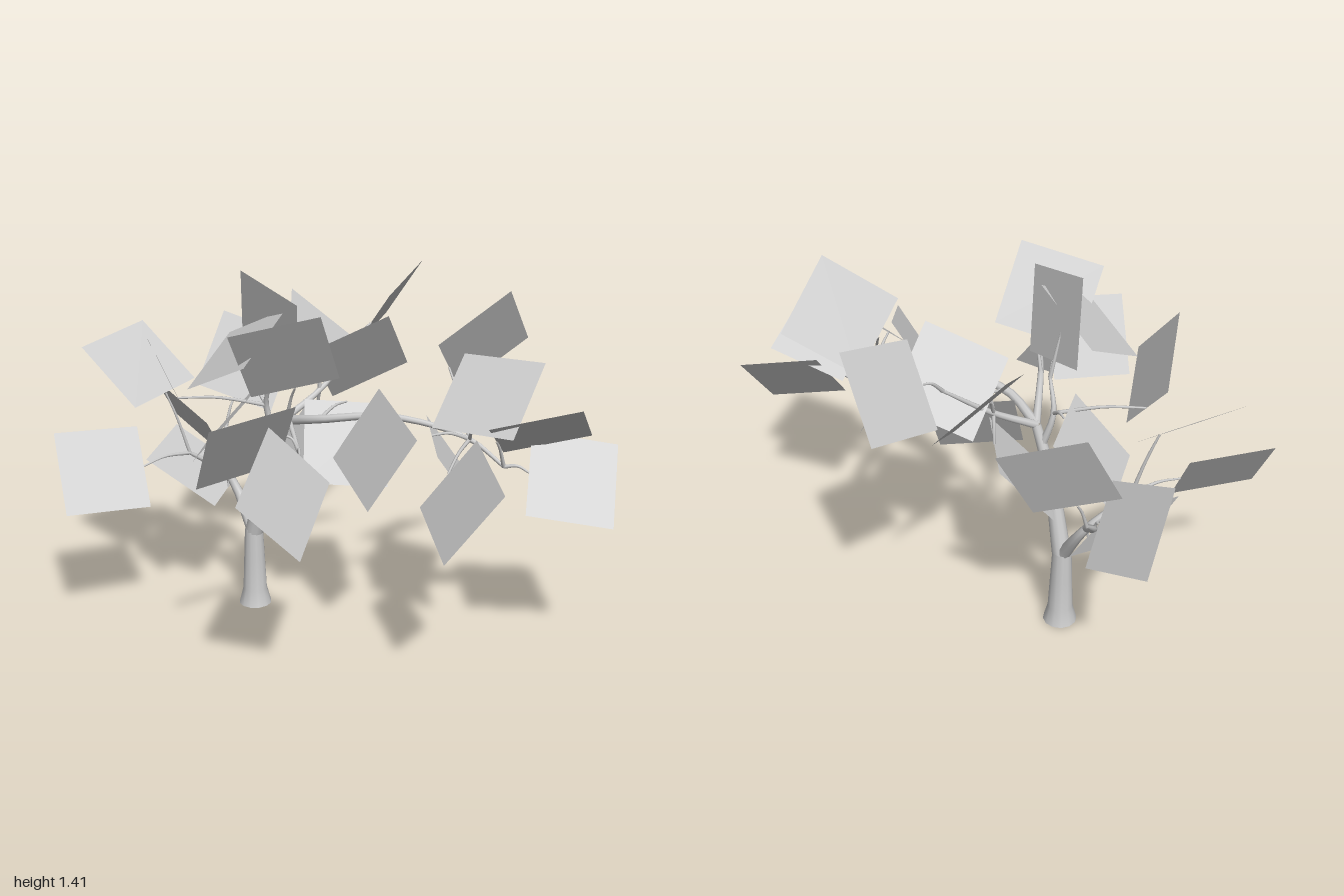
import * as THREE from 'three';

const LEAF = 0.325;
const bark = new THREE.MeshStandardMaterial({ color: 0xcccccc });
const foliage = new THREE.MeshStandardMaterial({ color: 0xcccccc, side: THREE.DoubleSide });
const vec = (x, y, z) => new THREE.Vector3(x, y, z);
const rad = THREE.MathUtils.degToRad;

// Square leaf growing along +z from the middle of its base edge
const leafGeometry = new THREE.PlaneGeometry(LEAF, LEAF).rotateX(-Math.PI / 2).translate(0, 0, LEAF / 2);

// Tapered smooth branch through a list of points
function branch(points, r0, r1, name, sides = 8) {
  const curve = new THREE.CatmullRomCurve3(points, false, 'centripetal');
  const rings = (points.length - 1) * 4;
  const geo = new THREE.TubeGeometry(curve, rings, 1, sides);
  const pos = geo.attributes.position;
  const v = new THREE.Vector3();
  for (let i = 0; i < pos.count; i++) {
    const t = Math.floor(i / (sides + 1)) / rings;
    const c = curve.getPointAt(t);
    v.fromBufferAttribute(pos, i).sub(c).multiplyScalar(r0 + (r1 - r0) * t).add(c);
    pos.setXYZ(i, v.x, v.y, v.z);
  }
  const mesh = new THREE.Mesh(geo, bark);
  mesh.name = name;
  return mesh;
}

// Limb with a helper that hangs a leaf at a point, by compass heading, rise and roll in degrees
function makeLimb(tree, name, r0, r1, ...path) {
  const limb = new THREE.Group();
  limb.name = name;
  limb.add(branch(path, r0, r1, 'branch'));
  tree.add(limb);
  return (x, y, z, heading, rise, roll) => {
    const base = vec(x, y, z);
    const leaf = new THREE.Mesh(leafGeometry, foliage);
    leaf.name = 'leaf';
    leaf.position.copy(base);
    leaf.rotation.set(rad(-rise), rad(heading), rad(roll), 'YXZ');
    // Twig from the nearest node of the limb, bent slightly upward
    const node = path.reduce((a, b) => (b.distanceTo(base) < a.distanceTo(base) ? b : a));
    const bend = node.clone().lerp(base, 0.55);
    bend.y += 0.015;
    limb.add(branch([node, bend, base], 0.008, 0.004, 'twig', 6), leaf);
  };
}

export function createModel() {
  const tree = new THREE.Group();
  tree.name = 'tree';
  const split = vec(-0.235, 0.31, -0.25);
  const crown = vec(-0.14, 0.82, -0.12);
  const lowFork = vec(-0.31, 0.52, -0.36);

  // Flared trunk, closed underneath
  const profile = [vec(0, 0), vec(0.066, 0), vec(0.066, 0), vec(0.049, 0.065), vec(0.043, 0.2), vec(0.037, 0.33)];
  const trunk = new THREE.Mesh(new THREE.LatheGeometry(profile, 12), bark);
  trunk.position.set(split.x, 0, split.z);
  trunk.name = 'trunk';
  tree.add(trunk);
  tree.add(branch([split, vec(-0.19, 0.63, -0.17), crown], 0.037, 0.018, 'upperTrunk', 12));

  // Long limb reaching to the front left
  let leaf = makeLimb(tree, 'frontLeftLimb', 0.019, 0.007, crown,
    vec(-0.04, 0.87, 0.05), vec(0.2, 0.9, 0.18), vec(0.46, 0.83, 0.3), vec(0.56, 0.745, 0.39));
  leaf(0.64, 0.73, 0.435, 76, -10, 52);
  leaf(0.51, 0.86, 0.43, 65, 15, -34);
  leaf(0.305, 0.78, 0.495, -4, -15, 57);
  leaf(0.305, 0.865, 0.32, 90, -55, 15);
  leaf(0.4, 0.91, 0.465, 132, 42, -4);
  leaf(0.43, 1.06, 0.145, 89, 34, -57);
  leaf(0.075, 0.87, 0.135, 8, -18, 64);
  leaf(0.1, 0.89, -0.07, -17, -59, -12);

  // Limb to the back left
  leaf = makeLimb(tree, 'backLeftLimb', 0.016, 0.006, crown, vec(0.02, 0.91, -0.175), vec(0.2, 1.06, -0.26));
  leaf(0.27, 1.125, -0.32, 137, 15, -54);
  leaf(0.04, 1, -0.25, 164, 24, 45);
  leaf(0.03, 0.97, -0.18, 80, 24, -53);
  leaf(0.02, 0.8, -0.21, -80, -50, 9);

  // Limb to the front right
  leaf = makeLimb(tree, 'frontRightLimb', 0.016, 0.006, crown, vec(-0.175, 0.91, 0.1), vec(-0.2, 0.87, 0.37));
  leaf(-0.22, 0.89, 0.465, -37, -35, -62);
  leaf(-0.235, 0.92, 0.345, -75, -6, 56);
  leaf(-0.16, 1.035, 0.165, -36, 55, 23);

  // Limb at the top
  leaf = makeLimb(tree, 'topLimb', 0.016, 0.006, vec(-0.16, 0.74, -0.14), vec(-0.2, 0.88, -0.14), vec(-0.19, 1, -0.09));
  leaf(-0.2, 1.06, -0.07, -13, 73, -52);
  leaf(-0.245, 1.23, -0.065, -44, -27, 28);
  leaf(-0.53, 0.92, -0.19, -16, 32, -62);
  leaf(-0.23, 0.91, -0.23, -105, -49, 7);

  // Low limb to the right
  leaf = makeLimb(tree, 'lowRightLimb', 0.027, 0.007, split, lowFork, vec(-0.47, 0.645, -0.33));
  leaf(-0.665, 0.64, -0.24, -81, 3, -55);
  leaf(-0.555, 0.9, -0.335, -138, 38, -10);

  // Low limb to the back
  leaf = makeLimb(tree, 'lowBackLimb', 0.018, 0.006, lowFork, vec(-0.32, 0.59, -0.46), vec(-0.28, 0.67, -0.55));
  leaf(-0.24, 0.78, -0.575, 120, 61, 46);
  leaf(-0.333, 0.63, -0.485, -145, 24, 50);
  leaf(-0.315, 0.475, -0.355, -116, 33, -9);

  return tree;
}
